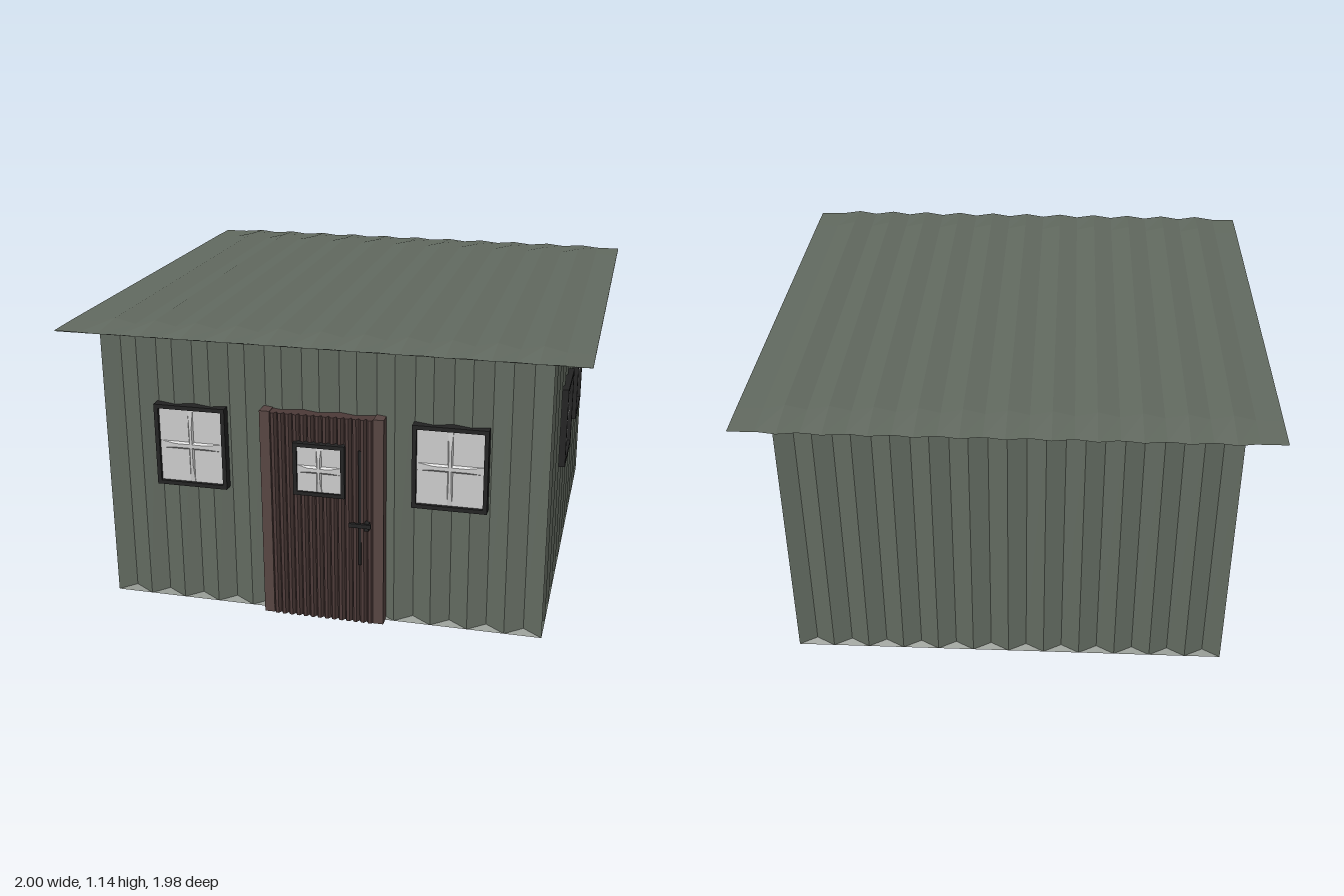
import * as THREE from 'three';

const mat = (color, side = THREE.FrontSide) =>
  new THREE.MeshStandardMaterial({ color, side, flatShading: true });
const metal = mat(0x626a60, THREE.DoubleSide);
const wood = mat(0x574542);
const plankWood = mat(0x4c3a38);
const dark = mat(0x222222);
const glass = mat(0xcccccc);

function add(parent, name, geometry, material, x = 0, y = 0, z = 0) {
  const mesh = new THREE.Mesh(geometry, material);
  mesh.name = name;
  mesh.position.set(x, y, z);
  parent.add(mesh);
  return mesh;
}
const box = (w, h, d) => new THREE.BoxGeometry(w, h, d);

// Geometry from rows of points running left to right, rows ordered bottom to top
function sheet(rows) {
  const p = [];
  for (let r = 0; r < rows.length - 1; r++) {
    for (let i = 0; i < rows[r].length - 1; i++) {
      const a = rows[r][i], b = rows[r][i + 1], c = rows[r + 1][i + 1], d = rows[r + 1][i];
      p.push(...a, ...b, ...c, ...a, ...c, ...d);
    }
  }
  const g = new THREE.BufferGeometry();
  g.setAttribute('position', new THREE.Float32BufferAttribute(p, 3));
  g.computeVertexNormals();
  return g;
}

const HALF = 0.865, RIBS = 12;

// One corrugated wall: straight foot, zigzag face, eave flaring out to the roof edge
function wallGeometry(reach, halfSpan) {
  const foot = [], low = [], high = [], eave = [];
  for (let i = 0; i <= RIBS * 2; i++) {
    const t = i / RIBS - 1, valley = i % 2;
    const d = HALF - (valley ? 0.022 : 0);
    foot.push([t * HALF, 0, HALF]);
    low.push([t * HALF, valley ? 0.02 : 0, d]);
    high.push([t * HALF, valley ? 1.112 : 1.09, d]);
    eave.push([t * halfSpan, 1.122, reach]);
  }
  return sheet([foot, low, high, eave]);
}

// Corrugated roof sheet with flat side margins and tapered front and back edges
function roofGeometry() {
  const xs = [-1];
  for (let i = 0; i <= 22; i++) xs.push(-0.9 + i * 1.8 / 22);
  xs.push(1);
  const row = (z, bulge, low, high) => xs.map((x, i) => {
    const peak = i > 0 && i < xs.length - 1 && i % 2 === 0;
    return [x, peak ? high : low, z + (peak ? bulge : 0)];
  });
  return sheet([
    row(0.97, 0.02, 1.124, 1.128),
    row(0.82, 0, 1.126, 1.145),
    row(-0.82, 0, 1.126, 1.145),
    row(-0.97, -0.02, 1.124, 1.128),
  ]);
}

// Window facing +z, built around its own centre with its back at z = 0
function makeWindow(name, w, h, rim, depth) {
  const group = new THREE.Group();
  group.name = name;
  const outline = new THREE.Shape([
    new THREE.Vector2(-w / 2, -h / 2), new THREE.Vector2(w / 2, -h / 2),
    new THREE.Vector2(w / 2, h / 2), new THREE.Vector2(-w / 2, h / 2)]);
  const a = w / 2 - rim, b = h / 2 - rim;
  outline.holes.push(new THREE.Path([
    new THREE.Vector2(-a, -b), new THREE.Vector2(-a, b),
    new THREE.Vector2(a, b), new THREE.Vector2(a, -b)]));
  add(group, 'windowFrame', new THREE.ExtrudeGeometry(outline,
    { depth, bevelEnabled: false }), dark);
  add(group, 'pane', box(a * 2, b * 2, depth * 0.7), glass, 0, 0, depth * 0.35);
  // Bevelled bars forming the cross
  const bar = (length, width) => {
    const g = new THREE.CylinderGeometry(width * 0.35, width * 0.7, 0.008, 4, 1);
    g.rotateY(Math.PI / 4).rotateX(Math.PI / 2);
    return g.scale(length / width, 1, 1);
  };
  add(group, 'crossBar', bar(a * 2, 0.03), glass, 0, 0, depth * 0.7 + 0.004);
  add(group, 'uprightBar', bar(b * 2, 0.02).rotateZ(Math.PI / 2), glass, 0, 0, depth * 0.7 + 0.004);
  return group;
}

function makeDoor() {
  const door = new THREE.Group();
  door.name = 'door';
  const top = 0.845, left = -0.187, right = 0.217, planks = 14;
  add(door, 'leftJamb', box(0.04, top, 0.06), wood, -0.205, top / 2, 0.872);
  add(door, 'rightJamb', box(0.04, top, 0.06), wood, 0.235, top / 2, 0.872);
  // Ridged planks cut from one zigzag outline
  const s = new THREE.Shape();
  s.moveTo(left, -0.84);
  s.lineTo(right, -0.84);
  const step = (right - left) / planks;
  for (let i = planks; i > 0; i--) {
    const x = left + i * step;
    s.lineTo(x, -0.893);
    s.lineTo(x - step * 0.3, -0.908);
    s.lineTo(x - step * 0.7, -0.908);
  }
  s.lineTo(left, -0.893);
  const leaf = new THREE.ExtrudeGeometry(s, { depth: top - 0.003, bevelEnabled: false });
  add(door, 'planks', leaf.rotateX(-Math.PI / 2), plankWood);
  // Small door window
  const pane = makeWindow('doorWindow', 0.2, 0.21, 0.015, 0.03);
  pane.position.set(0.01, 0.632, 0.897);
  door.add(pane);
  // Lock plate and lever handle
  add(door, 'lockStrip', box(0.01, 0.47, 0.008), dark, 0.165, 0.485, 0.906);
  add(door, 'handlePost', box(0.018, 0.03, 0.03), dark, 0.195, 0.42, 0.915);
  add(door, 'handleLever', box(0.085, 0.016, 0.012), dark, 0.17, 0.425, 0.929);
  return door;
}

export function createModel() {
  const model = new THREE.Group();
  model.name = 'corrugatedHut';

  // Four walls, turned about the centre
  ['frontWall', 'leftWall', 'backWall', 'rightWall'].forEach((name, i) => {
    const ends = i % 2 === 0;
    const wall = add(model, name, wallGeometry(ends ? 0.97 : 1, ends ? 1 : 0.97), metal);
    wall.rotation.y = i * Math.PI / 2;
  });
  add(model, 'floor', new THREE.PlaneGeometry(HALF * 2, HALF * 2).rotateX(Math.PI / 2), metal);
  add(model, 'roof', roofGeometry(), metal);

  // Folded bracket under the left eave
  add(model, 'eaveBracket', sheet([
    [[0.855, 1.0, 0.085], [0.855, 1.0, 0.075], [0.855, 1.0, 0.065]],
    [[0.86, 1.1, 0.11], [0.92, 1.112, 0.075], [0.86, 1.1, 0.04]],
  ]), metal);

  // Windows: two in the front, two in each side
  const place = (name, angle, along) => {
    const w = makeWindow(name, 0.285, 0.33, 0.016, 0.045);
    const turn = new THREE.Vector3(along, 0.665, 0.84)
      .applyAxisAngle(new THREE.Vector3(0, 1, 0), angle);
    w.position.copy(turn);
    w.rotation.y = angle;
    model.add(w);
  };
  for (const x of [-0.513, 0.5]) place('frontWindow', 0, x);
  for (const z of [0.213, -0.366]) {
    place('leftWindow', Math.PI / 2, -z);
    place('rightWindow', -Math.PI / 2, z);
  }

  model.add(makeDoor());
  return model;
}
